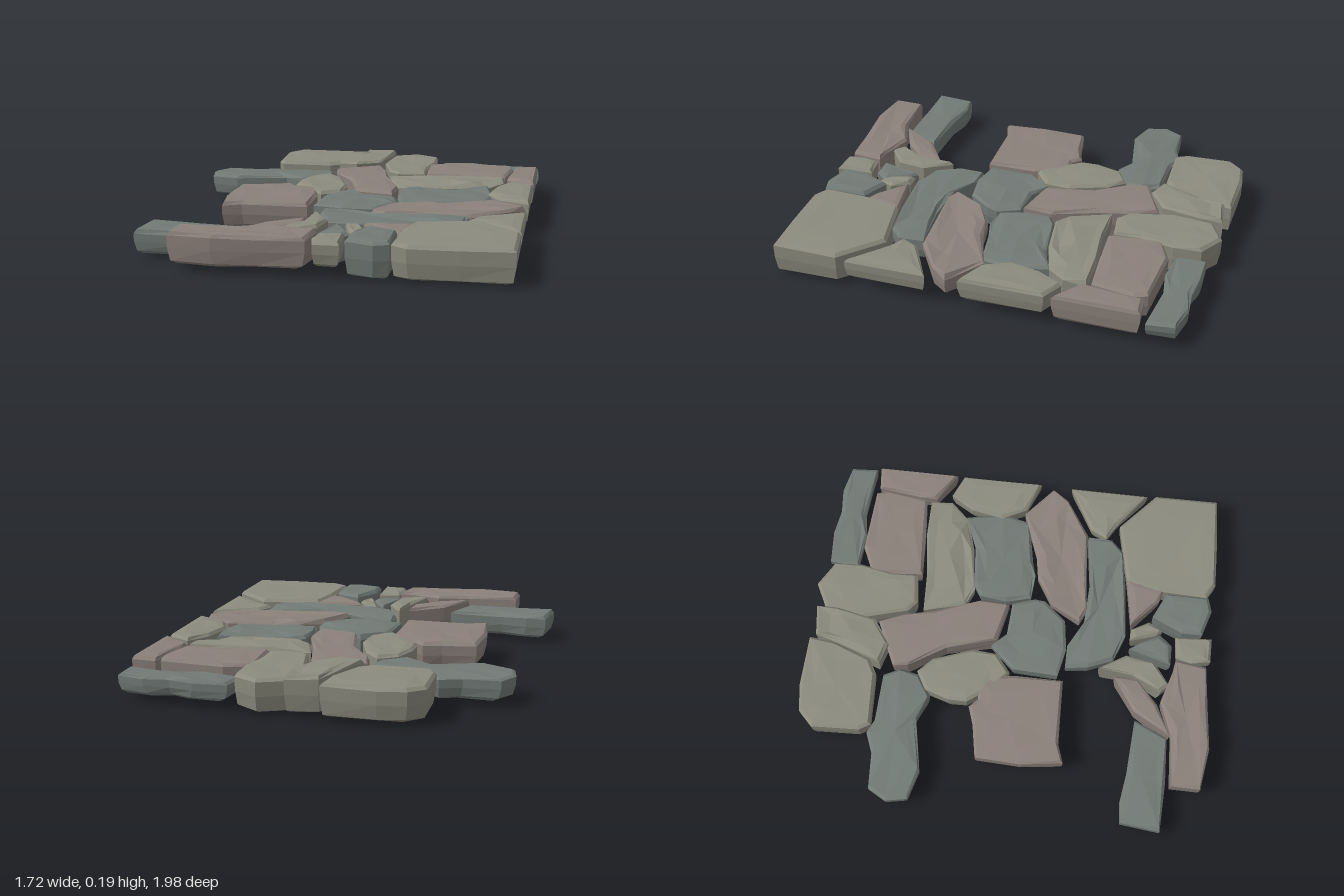
import * as THREE from 'three';

const colors = { olive: 0x8c8b7e, slate: 0x727a76, mauve: 0x8b807a };
const materials = {};
for (const [key, color] of Object.entries(colors)) {
  materials[key] = new THREE.MeshStandardMaterial({ color, flatShading: true });
}

// Repeatable small unevenness from a position
function rough(x, z) {
  const s = Math.sin(x * 91.7 + z * 47.3) * 437.58;
  return (s - Math.floor(s)) * 2 - 1;
}

// One hewn slab: clockwise plan outline [x, z, x, z...], lofted from crown to
// underside. wave sets how uneven the worn top is.
function stone(outline, bottom, top, wave = 0.003) {
  const pts = [];
  for (let i = 0; i < outline.length; i += 2) pts.push([outline[i], outline[i + 1]]);
  const n = pts.length;
  const cx = pts.reduce((s, p) => s + p[0], 0) / n;
  const cz = pts.reduce((s, p) => s + p[1], 0) / n;

  // Each ring: scale of the outline, inset, height, unevenness
  const rings = [
    [0, 0, top, wave],
    [0.6, 0, top, wave],
    [1, 0.018, top - 0.002, wave],
    [1, 0.002, top - 0.016, wave],
    [1, 0.004, (top + bottom) / 2, 0],
    [1, 0.016, bottom + 0.014, 0.003],
    [0.97, 0.035, bottom + 0.002, 0.002],
    [0, 0, bottom + 0.002, 0.002],
  ].map(([scale, inset, y, uneven]) => pts.map(([px, pz]) => {
    const dx = px - cx, dz = pz - cz;
    const k = scale === 0 ? 0 : scale - inset / Math.hypot(dx, dz);
    const x = cx + dx * k, z = cz + dz * k;
    return [x, y + uneven * rough(x, z), z];
  }));

  const pos = [];
  for (let r = 0; r < rings.length - 1; r++) {
    const up = rings[r], low = rings[r + 1];
    for (let i = 0; i < n; i++) {
      const j = (i + 1) % n;
      if (r > 0) pos.push(...up[i], ...up[j], ...low[j]);
      if (r < rings.length - 2) pos.push(...up[i], ...low[j], ...low[i]);
    }
  }
  const geo = new THREE.BufferGeometry();
  geo.setAttribute('position', new THREE.Float32BufferAttribute(pos, 3));
  geo.computeVertexNormals();
  return geo;
}

export function createModel() {
  const group = new THREE.Group();
  group.name = 'stonePaving';
  const add = (name, color, bottom, top, outline, wave) => {
    const mesh = new THREE.Mesh(stone(outline, bottom, top, wave), materials[color]);
    mesh.name = name;
    group.add(mesh);
  };

  // Back row
  add('backRightCornerStone', 'olive', 0.03, 0.185,
    [-.55, -.90, -.48, -.97, -.35, -.99, -.10, -.98, -.11, -.86, -.18, -.67, -.25, -.63, -.51, -.62, -.54, -.67]);
  add('backWedgeStone', 'olive', 0.03, 0.2,
    [-.09, -.95, .06, -.97, .06, -.87, .02, -.67, -.10, -.59, -.20, -.62, -.13, -.82], 0.006);
  add('backRoundedStone', 'olive', 0.02, 0.18,
    [.06, -.93, .18, -.99, .30, -.92, .31, -.79, .28, -.62, .28, -.50, .14, -.48, .09, -.52, .03, -.74]);
  add('backLeftCornerStone', 'slate', 0.05, 0.14,
    [.32, -.95, .48, -.96, .60, -.94, .72, -.95, .85, -.92, .86, -.79, .60, -.81, .48, -.79, .31, -.81], 0.007);
  add('backSquareStone', 'mauve', 0.04, 0.175,
    [.27, -.73, .40, -.79, .71, -.77, .73, -.71, .70, -.51, .50, -.49, .29, -.48]);
  add('backLeftEdgeStone', 'mauve', 0.05, 0.175,
    [.74, -.76, .85, -.77, .85, -.37, .71, -.46, .71, -.54]);

  // Middle rows
  add('backProjectingStone', 'slate', 0.04, 0.15,
    [-.86, -.50, -.81, -.59, -.64, -.60, -.54, -.64, -.47, -.61, -.24, -.60, -.20, -.52, -.22, -.43,
      -.32, -.36, -.44, -.41, -.70, -.36, -.84, -.40], 0.007);
  add('ovalStone', 'olive', 0.03, 0.17,
    [-.34, -.27, -.30, -.39, -.21, -.44, -.14, -.37, -.07, -.18, -.08, -.06, -.17, .01, -.26, -.07, -.34, -.18]);
  add('longDiagonalStone', 'mauve', 0.015, 0.175,
    [-.20, -.56, .02, -.66, .07, -.55, .11, -.39, .19, -.17, .18, -.03, -.01, -.07, -.08, -.31, -.19, -.49]);
  add('wavyStone', 'olive', 0.04, 0.165,
    [.10, -.45, .29, -.46, .52, -.49, .70, -.49, .70, -.38, .62, -.29, .46, -.24, .24, -.21, .16, -.25], 0.012);
  add('middleLeftEdgeStone', 'olive', 0.06, 0.175,
    [.74, -.39, .85, -.34, .85, .06, .70, .0, .64, -.12, .67, -.28]);
  add('middleSlateStone', 'slate', 0.04, 0.16,
    [.21, -.18, .27, -.22, .48, -.24, .63, -.30, .67, -.12, .64, .02, .43, .06, .35, .08, .23, .07, .20, -.05], 0.011);
  add('longCrossStone', 'mauve', 0.05, 0.165,
    [.13, .32, .21, .17, .34, .09, .46, .07, .68, -.01, .84, .12, .78, .20, .60, .32, .40, .33, .19, .35], 0.01);
  add('innerSlateStone', 'slate', 0.04, 0.165,
    [-.15, .02, -.04, -.10, .03, -.03, .19, -.02, .23, .09, .22, .14, .13, .25, -.02, .27, -.16, .24], 0.007);
  add('squareRightStone', 'mauve', 0.04, 0.17,
    [-.61, -.11, -.45, -.14, -.36, -.17, -.32, -.13, -.21, -.13, -.18, .03, -.18, .27, -.50, .28, -.59, .31, -.62, .11]);

  // Front rows
  add('wideSlateStone', 'slate', 0.04, 0.16,
    [-.11, .27, .0, .27, .13, .34, .34, .35, .59, .32, .59, .44, .53, .50, .34, .53, .08, .55, -.05, .50, -.10, .38], 0.01);
  add('triangularEdgeStone', 'olive', 0.06, 0.165,
    [.85, .21, .85, .60, .67, .46, .59, .41, .63, .33]);
  add('frontLeftCornerStone', 'olive', 0.02, 0.18,
    [.37, .53, .66, .47, .85, .64, .85, .95, .62, .965, .39, .97, .32, .93, .33, .68]);
  add('frontTriangleStone', 'mauve', 0.03, 0.17,
    [.14, .57, .38, .53, .34, .72, .28, .70]);
  add('frontSliverStone', 'olive', 0.02, 0.18,
    [-.10, .43, -.02, .56, -.04, .70, -.15, .78, -.19, .74, -.12, .60]);
  add('smallPointedStone', 'slate', 0.02, 0.16,
    [.02, .57, .06, .62, .11, .72, .06, .78, -.04, .78]);
  add('smallChipStone', 'olive', 0.04, 0.165,
    [.06, .57, .12, .57, .17, .66, .13, .73, .10, .70]);
  add('frontFivesidedStone', 'slate', 0.015, 0.185,
    [.19, .67, .32, .73, .32, .94, .25, .96, .12, .92, .12, .82]);
  add('frontSmallStone', 'olive', 0.06, 0.18,
    [-.01, .80, .10, .79, .11, .97, -.01, .97, -.03, .88]);
  add('frontSplinterStone', 'mauve', 0.01, 0.17,
    [-.13, .51, -.13, .62, -.25, .73, -.40, .80, -.30, .62]);
  add('frontProjectingStone', 'slate', 0.03, 0.145,
    [-.84, .60, -.74, .59, -.60, .61, -.33, .63, -.40, .79, -.62, .80, -.86, .79], 0.006);
  add('frontLongStone', 'mauve', 0.045, 0.19,
    [-.65, .82, -.40, .80, -.24, .74, -.08, .79, -.02, .80, -.04, .95, -.24, .97, -.45, .99, -.65, .96], 0.005);

  return group;
}
